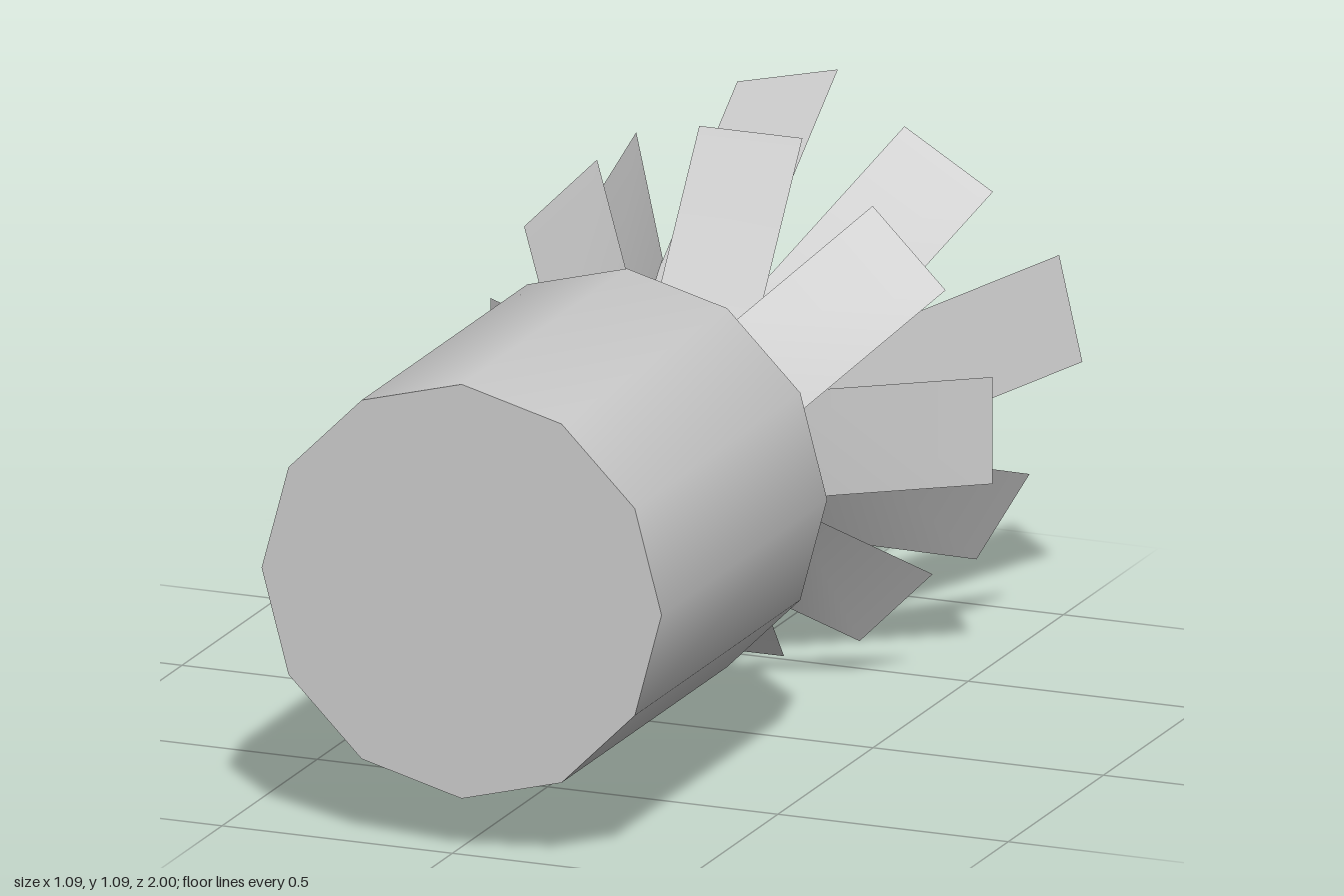
import * as THREE from 'three';

const material = new THREE.MeshStandardMaterial({ color: 0xcccccc });
const leafMaterial = new THREE.MeshStandardMaterial({ color: 0xcccccc, side: THREE.DoubleSide });

// Thin strip following [z, distance from axis] points, bending outward along +x
function leafGeometry(profile, offset, halfWidth = 0.112) {
  const positions = [], index = [];
  profile.forEach(([z, r], i) => {
    for (const side of [-1, 1]) positions.push(r, offset + side * halfWidth, z);
    if (i > 0) {
      const a = 2 * (i - 1);
      index.push(a, a + 1, a + 2, a + 1, a + 3, a + 2);
    }
  });
  const geometry = new THREE.BufferGeometry();
  geometry.setAttribute('position', new THREE.Float32BufferAttribute(positions, 3));
  geometry.setIndex(index);
  geometry.computeVertexNormals();
  return geometry;
}

// Twelve-sided pot lying on its side, mouth to the back
function createPot() {
  const pot = new THREE.Group();
  pot.name = 'pot';
  const profile = [[0, 0.9], [0.33, 0.88], [0.335, 0.13], [0.434, 0.13], [0.434, 1]];
  const wall = new THREE.Mesh(
    new THREE.LatheGeometry(profile.map(([r, y]) => new THREE.Vector2(r, y)), 12).rotateX(Math.PI / 2),
    material
  );
  wall.name = 'potWall';
  const base = new THREE.Mesh(new THREE.CircleGeometry(0.434, 12), material);
  base.name = 'potBase';
  base.position.z = 1;
  pot.add(wall, base);
  pot.position.set(0.02, 0.556, 0);
  return pot;
}

export function createModel() {
  const model = new THREE.Group();
  model.name = 'pottedPlant';
  model.add(createPot());

  // Four rings of four leaves, from the most open to the most upright
  const rings = [
    { name: 'openLeaf', angle: 0, offset: -0.02,
      profile: [[0.99, 0.01], [0.5, 0.01], [0.13, 0.03], [-0.28, 0.22], [-0.52, 0.545]] },
    { name: 'outerLeaf', angle: 45, offset: -0.02,
      profile: [[0.99, 0.01], [0.55, 0.02], [0.13, 0.155], [-0.17, 0.257], [-0.45, 0.535]] },
    { name: 'middleLeaf', angle: 59, offset: -0.045,
      profile: [[0.99, 0.01], [0.55, 0.02], [0.13, 0.09], [-0.47, 0.27], [-0.86, 0.525]] },
    { name: 'uprightLeaf', angle: 13, offset: -0.02,
      profile: [[0.99, 0.01], [0.55, 0.02], [0.13, 0.08], [-0.28, 0.205], [-1, 0.525]] },
  ];
  for (const { name, angle, offset, profile } of rings) {
    const geometry = leafGeometry(profile, offset);
    for (let i = 0; i < 4; i++) {
      const leaf = new THREE.Mesh(geometry, leafMaterial);
      leaf.name = name;
      leaf.position.y = 0.55;
      leaf.rotation.z = THREE.MathUtils.degToRad(angle + i * 90);
      model.add(leaf);
    }
  }
  return model;
}
